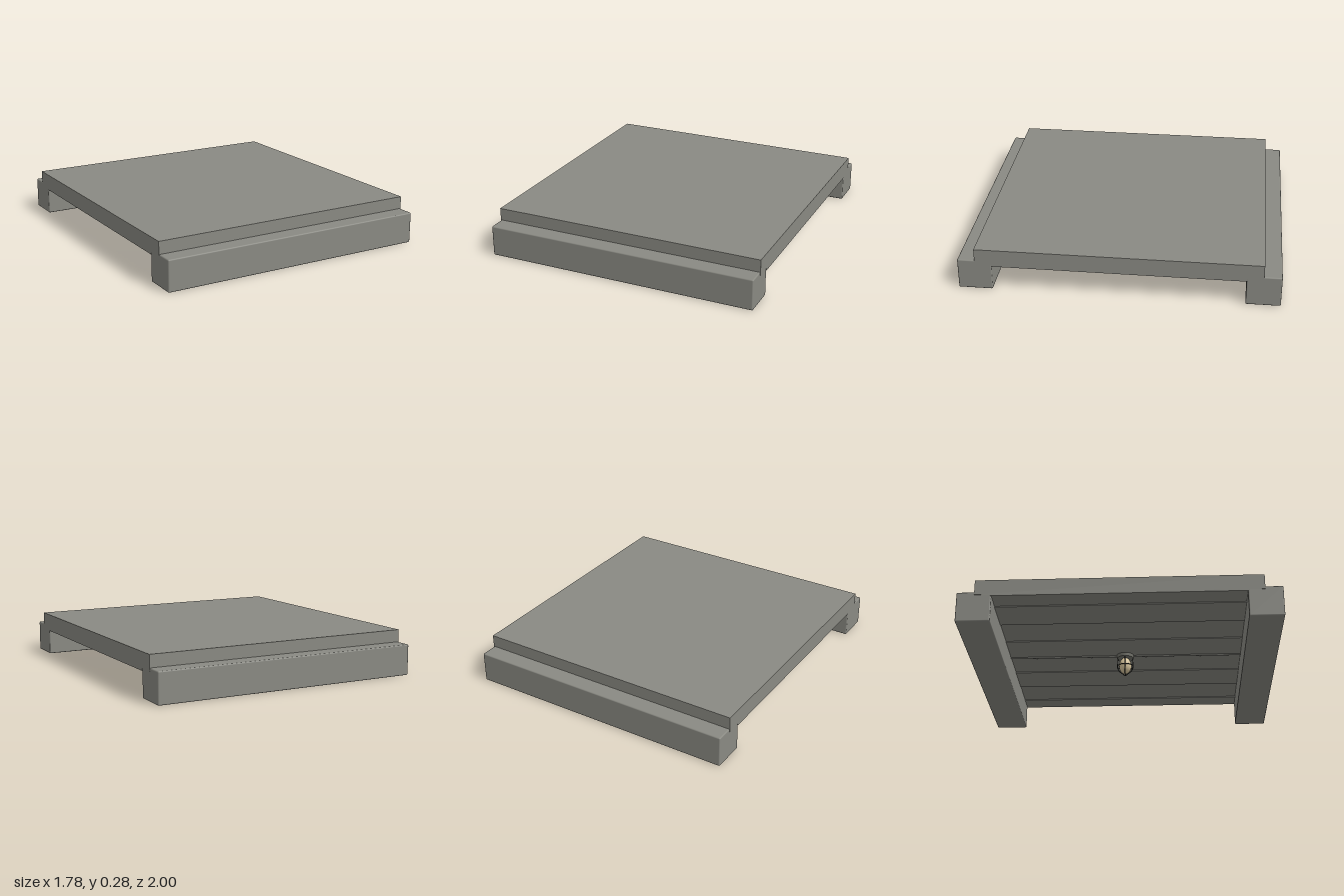
import * as THREE from 'three';
import { RoundedBoxGeometry } from 'three/addons/geometries/RoundedBoxGeometry.js';

const mat = (name, color) => {
  const m = new THREE.MeshStandardMaterial({ color });
  m.name = name;
  return m;
};

export function createModel() {
  const concrete = mat('concrete', 0x8a8a83);
  const steel = mat('fixtureGrey', 0x77776f);
  const wire = mat('cageDark', 0x33352f);
  const glass = mat('warmGlass', 0xdcc9a0);
  const model = new THREE.Group();
  model.name = 'ceilingPanel';

  const add = (parent, name, geometry, material, x = 0, y = 0, z = 0) => {
    const mesh = new THREE.Mesh(geometry, material);
    mesh.name = name;
    mesh.position.set(x, y, z);
    parent.add(mesh);
    return mesh;
  };

  // Main slab
  add(model, 'slab', new THREE.BoxGeometry(1.78, 0.1, 1.78), concrete, 0, 0.23, 0);

  // Bevelled beams along the front and back
  for (const s of [1, -1]) {
    add(model, s > 0 ? 'frontBeam' : 'backBeam',
      new RoundedBoxGeometry(1.776, 0.2, 0.215, 2, 0.008), concrete, 0, 0.1, s * 0.8925);
  }

  // Underside boards, alternating slightly in depth
  const edges = [-0.89, -0.75, -0.5, -0.25, 0, 0.25, 0.5, 0.75, 0.89];
  for (let i = 0; i < edges.length - 1; i++) {
    const depth = i % 2 ? 0.015 : 0.009;
    add(model, 'undersideBoard', new THREE.BoxGeometry(edges[i + 1] - edges[i], depth, 1.58),
      concrete, (edges[i] + edges[i + 1]) / 2, 0.18 - depth / 2, 0);
  }

  // Conduit feeding the lamp
  const conduit = add(model, 'conduit', new THREE.CylinderGeometry(0.009, 0.009, 1.58, 10),
    concrete, 0, 0.166, 0);
  conduit.rotation.x = Math.PI / 2;

  // Caged lamp
  const lamp = new THREE.Group();
  lamp.name = 'lamp';
  model.add(lamp);
  add(lamp, 'lampBase', new THREE.CylinderGeometry(0.06, 0.056, 0.025, 20), steel, 0, 0.156, 0);
  const bulb = add(lamp, 'lampGlass', new THREE.SphereGeometry(0.042, 16, 12), glass, 0, 0.09, 0);
  bulb.scale.y = 1.4;
  const ring = add(lamp, 'cageRing', new THREE.TorusGeometry(0.054, 0.003, 6, 24), wire, 0, 0.085, 0);
  ring.rotation.x = Math.PI / 2;

  // Cage wires meeting at the bottom
  const path = new THREE.CurvePath();
  const pts = [[0.05, 0.145], [0.054, 0.075], [0.04, 0.048], [0, 0.016]]
    .map(([x, y]) => new THREE.Vector3(x, y, 0));
  for (let i = 0; i < 3; i++) path.add(new THREE.LineCurve3(pts[i], pts[i + 1]));
  const wireGeometry = new THREE.TubeGeometry(path, 18, 0.003, 6);
  for (let i = 0; i < 4; i++) {
    add(lamp, 'cageWire', wireGeometry, wire).rotation.y = i * Math.PI / 2;
  }
  return model;
}
